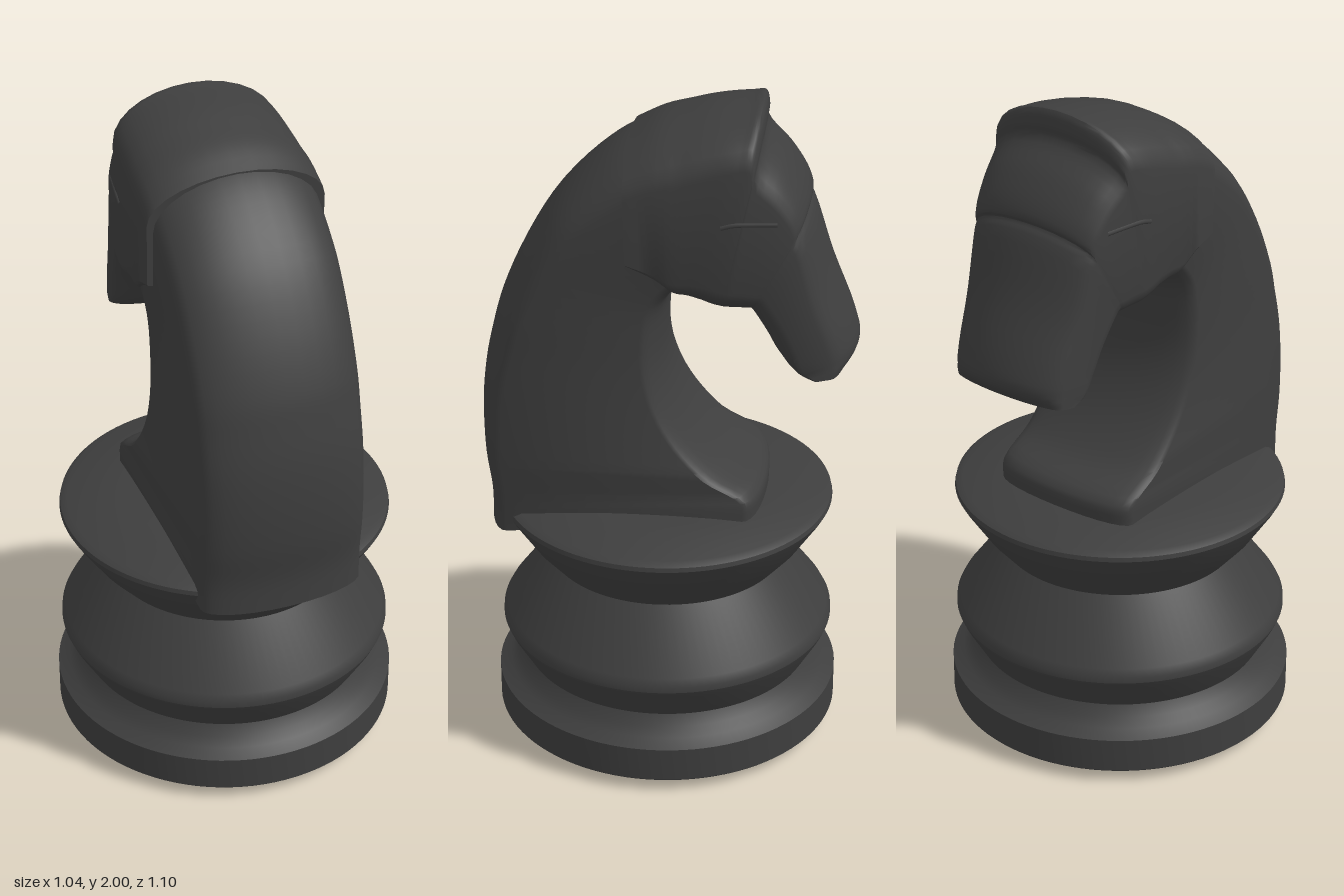
import * as THREE from 'three';
import { toCreasedNormals } from 'three/addons/utils/BufferGeometryUtils.js';

const ARC = 14; // steps in each rounded edge of a section

// Lofts rounded slab sections. Each station is [outerZ, outerY, innerZ, innerY, outerRounding, innerRounding].
function loft(stations, steps, halfWidth) {
  const curve = (i) => new THREE.CatmullRomCurve3(
    stations.map((s) => new THREE.Vector3(0, s[i + 1], s[i])), false, 'centripetal');
  const outer = curve(0), inner = curve(2);
  const count = (stations.length - 1) * steps;
  const ring = 2 * (ARC + 1);
  const pos = [], index = [];
  const o = new THREE.Vector3(), n = new THREE.Vector3(), u = new THREE.Vector3(), p = new THREE.Vector3();
  for (let i = 0; i <= count; i++) {
    const t = i / count;
    outer.getPoint(t, o);
    inner.getPoint(t, n);
    u.subVectors(n, o).normalize();
    const k = Math.min(Math.floor(i / steps), stations.length - 2), f = i / steps - k;
    const depth = (c) => THREE.MathUtils.lerp(stations[k][c], stations[k + 1][c], f);
    for (let side = 0; side < 2; side++) {
      for (let j = 0; j <= ARC; j++) {
        const a = (j / ARC - 0.5) * Math.PI * (side ? -1 : 1);
        const drop = 1 - Math.cos(a);
        if (side) p.copy(n).addScaledVector(u, -depth(5) * drop);
        else p.copy(o).addScaledVector(u, depth(4) * drop);
        pos.push(halfWidth(p.z) * Math.sin(a), p.y, p.z);
      }
    }
  }
  for (let i = 0; i < count; i++) {
    for (let j = 0; j < ring; j++) {
      const a = i * ring + j, b = i * ring + (j + 1) % ring;
      index.push(a, b, b + ring, a, b + ring, a + ring);
    }
  }
  // end caps
  for (const [row, flip] of [[0, true], [count, false]]) {
    const s = stations[row ? stations.length - 1 : 0];
    const c = pos.length / 3;
    pos.push(0, (s[1] + s[3]) / 2, (s[0] + s[2]) / 2);
    for (let j = 0; j < ring; j++) {
      const a = row * ring + j, b = row * ring + (j + 1) % ring;
      index.push(c, flip ? b : a, flip ? a : b);
    }
  }
  const g = new THREE.BufferGeometry();
  g.setAttribute('position', new THREE.Float32BufferAttribute(pos, 3));
  g.setIndex(index);
  return toCreasedNormals(g, 0.6);
}

// Half width of the head, narrowing towards the muzzle
const WIDTHS = [[0.1, 0.265], [0, 0.263], [-0.19, 0.25], [-0.34, 0.222], [-0.47, 0.195], [-0.56, 0.175]];
function headWidth(z) {
  if (z >= WIDTHS[0][0]) return WIDTHS[0][1];
  for (let i = 1; i < WIDTHS.length; i++) {
    const [z0, w0] = WIDTHS[i - 1], [z1, w1] = WIDTHS[i];
    if (z >= z1) return w0 + (w1 - w0) * (z - z0) / (z1 - z0);
  }
  return WIDTHS[WIDTHS.length - 1][1];
}

export function createModel() {
  const charcoal = new THREE.MeshStandardMaterial({ color: 0x3e3e3e });
  charcoal.name = 'charcoal';
  const model = new THREE.Group();
  model.name = 'chessKnight';
  const add = (name, geometry) => {
    const mesh = new THREE.Mesh(geometry, charcoal);
    mesh.name = name;
    model.add(mesh);
    return mesh;
  };

  // Turned base: plinth, waist ring and flared collar
  const profile = [
    [0, 0], [0.02, 0.02], [0.515, 0.035], [0.52, 0.04], [0.52, 0.145], [0.485, 0.165], [0.46, 0.187], [0.44, 0.22],
    [0.492, 0.31], [0.503, 0.335], [0.502, 0.352], [0.49, 0.375], [0.36, 0.55],
    [0.42, 0.62], [0.486, 0.72], [0.498, 0.742], [0.495, 0.755], [0.475, 0.767], [0.3, 0.784], [0, 0.8],
  ].map(([r, y]) => new THREE.Vector2(r, y));
  const base = add('base', toCreasedNormals(new THREE.LatheGeometry(profile, 96), 0.45));
  base.position.z = 0.01;

  // Arched neck with rounded crest and throat
  add('neck', loft([
    [0.53, 0.70, -0.295, 0.78, 0.07, 0.06],
    [0.53, 0.80, -0.29, 0.84, 0.07, 0.06],
    [0.546, 0.92, -0.18, 0.905, 0.075, 0.06],
    [0.55, 1.05, -0.09, 1.0, 0.08, 0.06],
    [0.54, 1.18, -0.03, 1.106, 0.085, 0.06],
    [0.515, 1.30, 0, 1.21, 0.09, 0.06],
    [0.49, 1.39, 0.005, 1.32, 0.09, 0.06],
    [0.42, 1.55, -0.01, 1.43, 0.095, 0.06],
    [0.32, 1.71, -0.04, 1.47, 0.1, 0.06],
    [0.19, 1.84, -0.07, 1.49, 0.12, 0.06],
    [0.10, 1.898, -0.09, 1.5, 0.13, 0.06],
    [0.0, 1.93, -0.12, 1.5, 0.14, 0.06],
  ], 4, () => 0.247));

  // Head from cheek plate, over the ear ridge and brow, to the muzzle
  add('head', loft([
    [0.11, 1.898, 0.10, 1.57, 0.12, 0.02],
    [0.03, 1.94, 0.02, 1.51, 0.13, 0.05],
    [-0.05, 1.965, -0.03, 1.455, 0.14, 0.08],
    [-0.13, 1.985, -0.065, 1.445, 0.14, 0.09],
    [-0.23, 1.997, -0.10, 1.43, 0.13, 0.1],
    [-0.265, 2.0, -0.13, 1.418, 0.13, 0.1],
    [-0.275, 1.955, -0.15, 1.413, 0.11, 0.1],
    [-0.272, 1.92, -0.165, 1.41, 0.1, 0.1],
    [-0.34, 1.845, -0.19, 1.41, 0.09, 0.1],
    [-0.39, 1.77, -0.21, 1.41, 0.08, 0.1],
    [-0.405, 1.725, -0.225, 1.41, 0.08, 0.1],
    [-0.397, 1.712, -0.23, 1.41, 0.08, 0.1],
    [-0.412, 1.69, -0.237, 1.405, 0.08, 0.1],
    [-0.47, 1.52, -0.275, 1.345, 0.08, 0.09],
    [-0.54, 1.345, -0.31, 1.285, 0.08, 0.08],
    [-0.552, 1.28, -0.36, 1.237, 0.08, 0.05],
    [-0.52, 1.235, -0.41, 1.221, 0.04, 0.03],
  ], 4, headWidth));

  // Thin eye creases under the brow
  for (const side of [-1, 1]) {
    const path = [[-0.165, 1.708], [-0.2, 1.716], [-0.26, 1.716], [-0.32, 1.714]]
      .map(([z, y]) => new THREE.Vector3(side * (headWidth(z) - 0.003), y, z));
    add(side > 0 ? 'leftEyeCrease' : 'rightEyeCrease',
      new THREE.TubeGeometry(new THREE.CatmullRomCurve3(path), 12, 0.007, 6));
  }
  return model;
}
